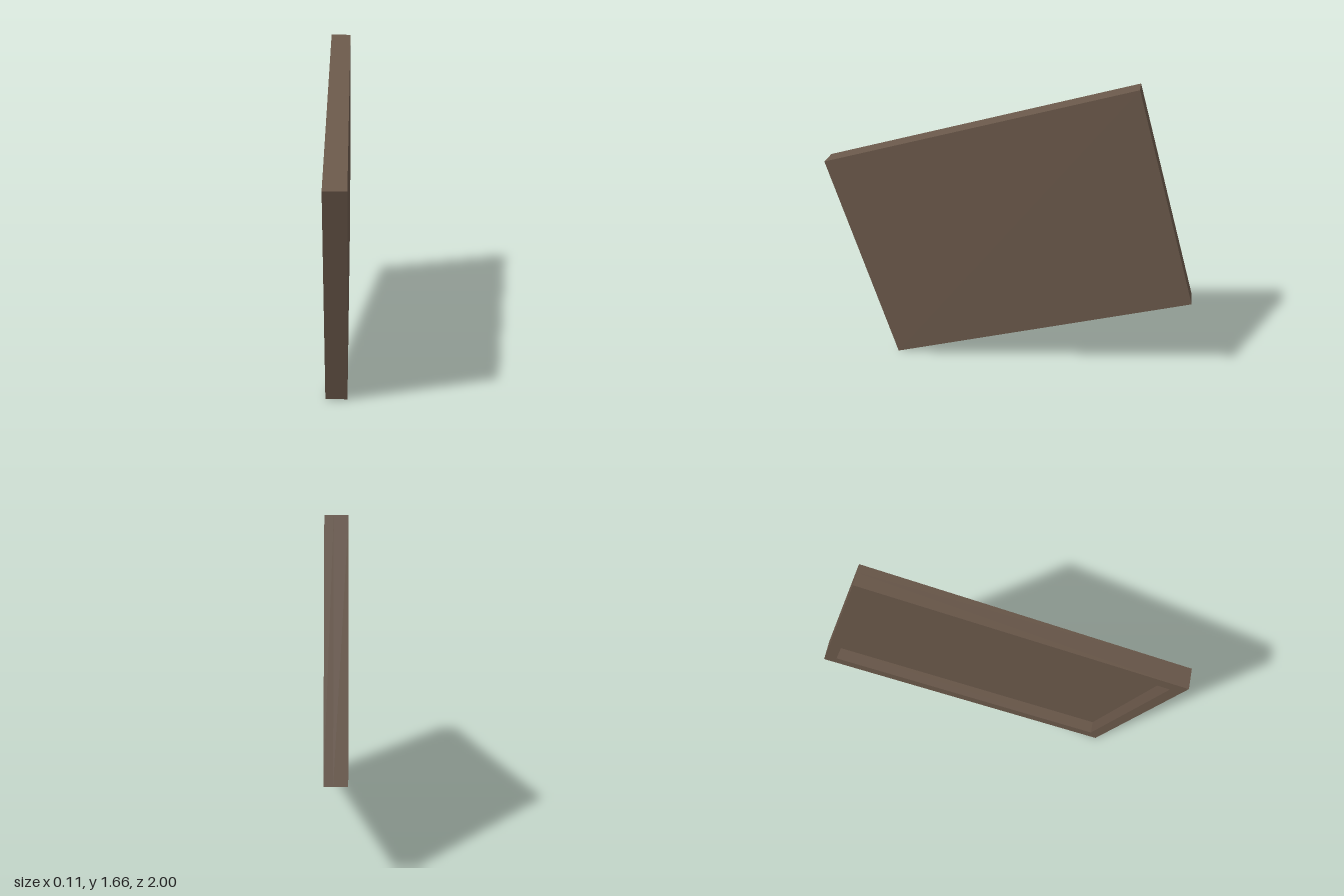
import * as THREE from 'three';

const WIDTH = 1.721, HEIGHT = 1.221, THICKNESS = 0.11;
const PANEL = 0.043;                      // thickness of the closed face
const SIDE_RIM = 0.064, END_RIM = 0.08;   // rim widths around the recess
const TILT = Math.atan2(0.49, 1.65);

function rectangle(PathType, w, h) {
  const x = w / 2, y = h / 2;
  return new PathType([[-x, -y], [x, -y], [x, y], [-x, y]].map(p => new THREE.Vector2(...p)));
}

export function createModel() {
  const model = new THREE.Group();
  model.name = 'tiltedTray';
  const wood = new THREE.MeshStandardMaterial({ color: 0x6a584a });
  wood.name = 'dark brown';

  // Closed face, towards +x once turned
  const panel = new THREE.Mesh(new THREE.BoxGeometry(WIDTH, HEIGHT, PANEL), wood);
  panel.name = 'panel';
  panel.position.z = (PANEL - THICKNESS) / 2;

  // Raised rim around the recess, towards -x once turned
  const outline = rectangle(THREE.Shape, WIDTH, HEIGHT);
  outline.holes.push(rectangle(THREE.Path, WIDTH - 2 * SIDE_RIM, HEIGHT - 2 * END_RIM));
  const rim = new THREE.Mesh(
    new THREE.ExtrudeGeometry(outline, { depth: THICKNESS - PANEL, bevelEnabled: false }), wood);
  rim.name = 'rim';
  rim.position.z = PANEL - THICKNESS / 2;

  // Stand the tray on one corner
  const tray = new THREE.Group();
  tray.name = 'tray';
  tray.add(panel, rim);
  tray.rotation.set(0, -Math.PI / 2, -TILT);
  tray.position.y = (WIDTH * Math.sin(TILT) + HEIGHT * Math.cos(TILT)) / 2;
  model.add(tray);
  return model;
}
